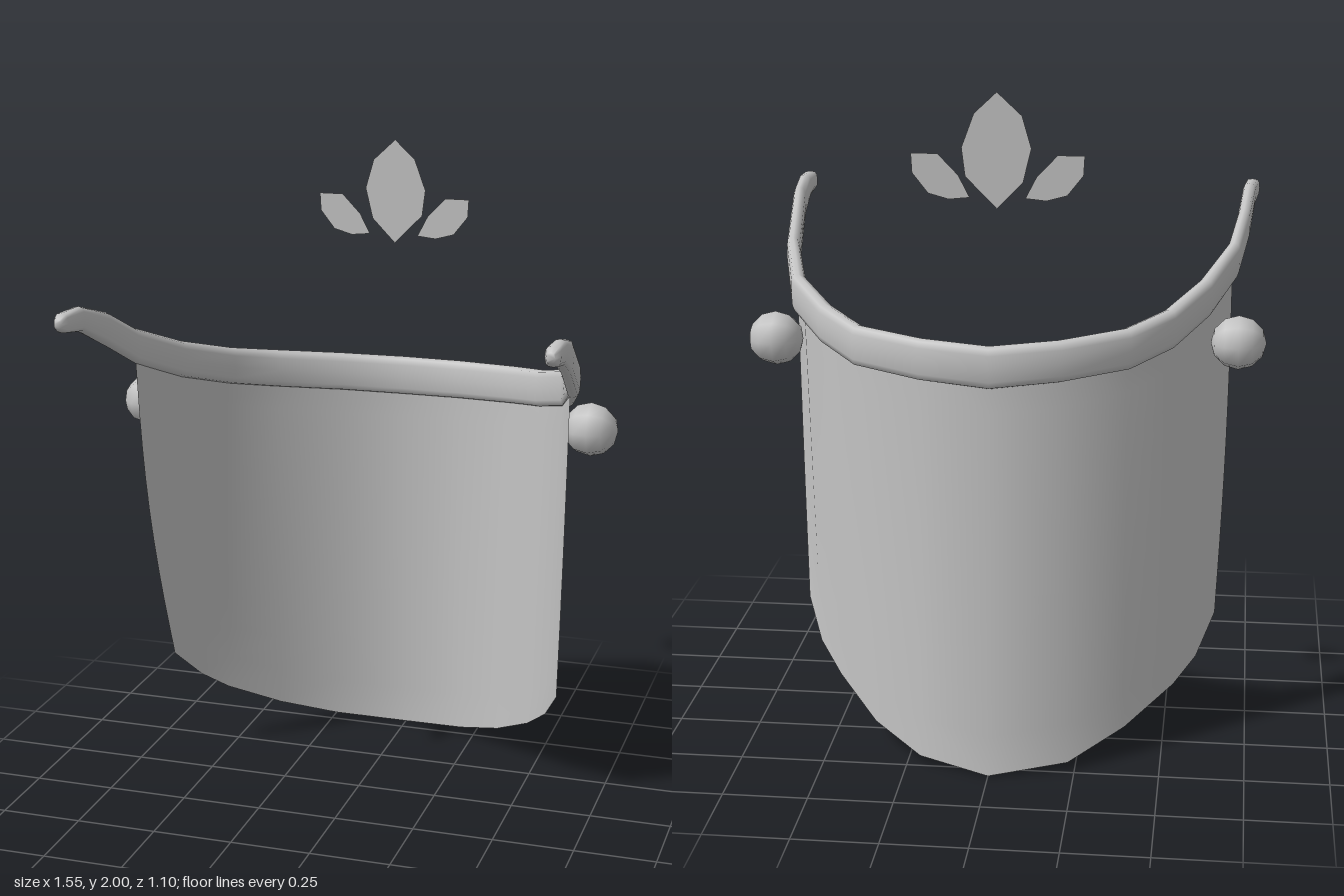
import * as THREE from 'three';

const grey = new THREE.MeshStandardMaterial({ color: 0xc4c4c4, side: THREE.DoubleSide });
grey.name = 'plain grey';

// Headband stations: x, z, bottom y, top y, half thickness
const bandStations = [
  [-0.729, 0.548, 1.560, 1.590, 0.012], [-0.727, 0.525, 1.545, 1.603, 0.023],
  [-0.717, 0.430, 1.530, 1.605, 0.021], [-0.702, 0.270, 1.450, 1.555, 0.020],
  [-0.674, 0.126, 1.368, 1.478, 0.021], [-0.595, -0.056, 1.288, 1.403, 0.024],
  [-0.496, -0.230, 1.232, 1.350, 0.026], [-0.380, -0.357, 1.200, 1.322, 0.027],
  [-0.194, -0.448, 1.182, 1.305, 0.028], [0, -0.498, 1.170, 1.295, 0.028],
  [0.198, -0.460, 1.180, 1.303, 0.028], [0.393, -0.382, 1.197, 1.317, 0.027],
  [0.512, -0.250, 1.228, 1.345, 0.026], [0.624, -0.085, 1.278, 1.393, 0.024],
  [0.678, 0.105, 1.358, 1.468, 0.021], [0.702, 0.333, 1.480, 1.582, 0.020],
  [0.704, 0.430, 1.530, 1.605, 0.021], [0.702, 0.515, 1.545, 1.603, 0.023],
  [0.701, 0.538, 1.560, 1.590, 0.012],
];

// Visor columns: top x, top z, bottom x, bottom y, bottom z
const visorColumns = [
  [-0.672, 0.13, -0.648, 0.355, -0.066], [-0.6, -0.05, -0.595, 0.25, -0.167],
  [-0.5, -0.22, -0.53, 0.185, -0.24], [-0.38, -0.345, -0.39, 0.095, -0.37],
  [-0.194, -0.44, -0.23, 0.027, -0.49], [0, -0.488, 0, 0, -0.55],
  [0.198, -0.45, 0.21, 0.027, -0.49], [0.385, -0.375, 0.36, 0.085, -0.385],
  [0.505, -0.245, 0.49, 0.175, -0.25], [0.61, -0.085, 0.565, 0.25, -0.167],
  [0.672, 0.115, 0.62, 0.355, -0.066],
];

function makeMesh(name, geometry) {
  const mesh = new THREE.Mesh(geometry, grey);
  mesh.name = name;
  return mesh;
}

function indexed(positions, index) {
  const g = new THREE.BufferGeometry();
  g.setAttribute('position', new THREE.Float32BufferAttribute(positions, 3));
  g.setIndex(index);
  g.computeVertexNormals();
  return g;
}

// Rounded upright section swept round the head, closed at both tips
function bandGeometry() {
  const sides = 12, count = bandStations.length, pos = [], idx = [];
  bandStations.forEach(([x, z, low, high, w], i) => {
    const p = bandStations[Math.max(i - 1, 0)], q = bandStations[Math.min(i + 1, count - 1)];
    const tx = q[0] - p[0], tz = q[1] - p[1], len = Math.hypot(tx, tz);
    const nx = tz / len, nz = -tx / len;
    for (let j = 0; j < sides; j++) {
      const a = (j / sides) * Math.PI * 2, c = Math.cos(a), s = Math.sin(a);
      const across = w * Math.sign(c) * Math.pow(Math.abs(c), 0.6);
      const up = Math.sign(s) * Math.pow(Math.abs(s), 0.7);
      pos.push(x + nx * across, (low + high) / 2 + up * (high - low) / 2, z + nz * across);
    }
  });
  for (let i = 0; i < count - 1; i++) {
    for (let j = 0; j < sides; j++) {
      const a = i * sides + j, b = i * sides + (j + 1) % sides;
      idx.push(a, b, a + sides, b, b + sides, a + sides);
    }
  }
  const end = (count - 1) * sides;
  for (let j = 1; j < sides - 1; j++) idx.push(0, j + 1, j, end, end + j, end + j + 1);
  return indexed(pos, idx);
}

// Height of the band's middle at depth z
function bandHeight(z) {
  for (let i = 2; i < 9; i++) {
    const a = bandStations[i], b = bandStations[i + 1];
    if (z <= a[1] && z >= b[1]) {
      const t = (a[1] - z) / (a[1] - b[1]);
      return THREE.MathUtils.lerp((a[2] + a[3]) / 2, (b[2] + b[3]) / 2, t);
    }
  }
  return 1.23;
}

// Thin curved sheet whose side edges bow gently forward
function visorGeometry() {
  const rows = 10, count = visorColumns.length, pos = [], idx = [];
  visorColumns.forEach(([tx, tz, bx, by, bz], i) => {
    const bow = 0.032 * Math.pow(Math.abs(i - 5) / 5, 4);
    const top = bandHeight(tz) - 0.02;
    for (let r = 0; r <= rows; r++) {
      const t = r / rows, s = Math.sin(t * Math.PI);
      pos.push(
        THREE.MathUtils.lerp(tx, bx, t) + Math.sign(tx) * bow * 0.25 * s,
        THREE.MathUtils.lerp(top, by, t),
        THREE.MathUtils.lerp(tz, bz, t) + bow * s);
    }
  });
  for (let i = 0; i < count - 1; i++) {
    for (let r = 0; r < rows; r++) {
      const a = i * (rows + 1) + r, b = a + rows + 1;
      idx.push(a, b, a + 1, b, b + 1, a + 1);
    }
  }
  return indexed(pos, idx);
}

function leaf(name, points, z) {
  const shape = new THREE.Shape(points.map(([x, y]) => new THREE.Vector2(x, y)));
  const mesh = makeMesh(name, new THREE.ShapeGeometry(shape));
  mesh.position.z = z;
  return mesh;
}

export function createModel() {
  const model = new THREE.Group();
  model.name = 'faceShield';
  model.add(makeMesh('headband', bandGeometry()), makeMesh('visor', visorGeometry()));

  // Pivot knobs
  for (const [name, x, y, z] of [['rightKnob', -0.697, 1.21, -0.05], ['leftKnob', 0.69, 1.205, -0.122]]) {
    const knob = makeMesh(name, new THREE.SphereGeometry(0.083, 8, 6));
    knob.rotation.z = Math.PI / 2;
    knob.position.set(x, y, z);
    model.add(knob);
  }

  // Three flat leaves floating above the band
  model.add(leaf('centreLeaf', [[-0.017, 2], [-0.087, 1.935], [-0.113, 1.845], [-0.09, 1.75],
    [-0.017, 1.675], [0.072, 1.765], [0.082, 1.845], [0.047, 1.94]], -0.441));
  const side = [[0.243, 1.825], [0.168, 1.825], [0.11, 1.765], [0.078, 1.703],
    [0.137, 1.697], [0.195, 1.713], [0.24, 1.77]];
  for (const s of [-1, 1]) {
    const mesh = leaf(s < 0 ? 'rightLeaf' : 'leftLeaf', side.map(([x, y]) => [s * x - 0.017, y]), -0.427);
    model.add(mesh);
  }
  return model;
}
